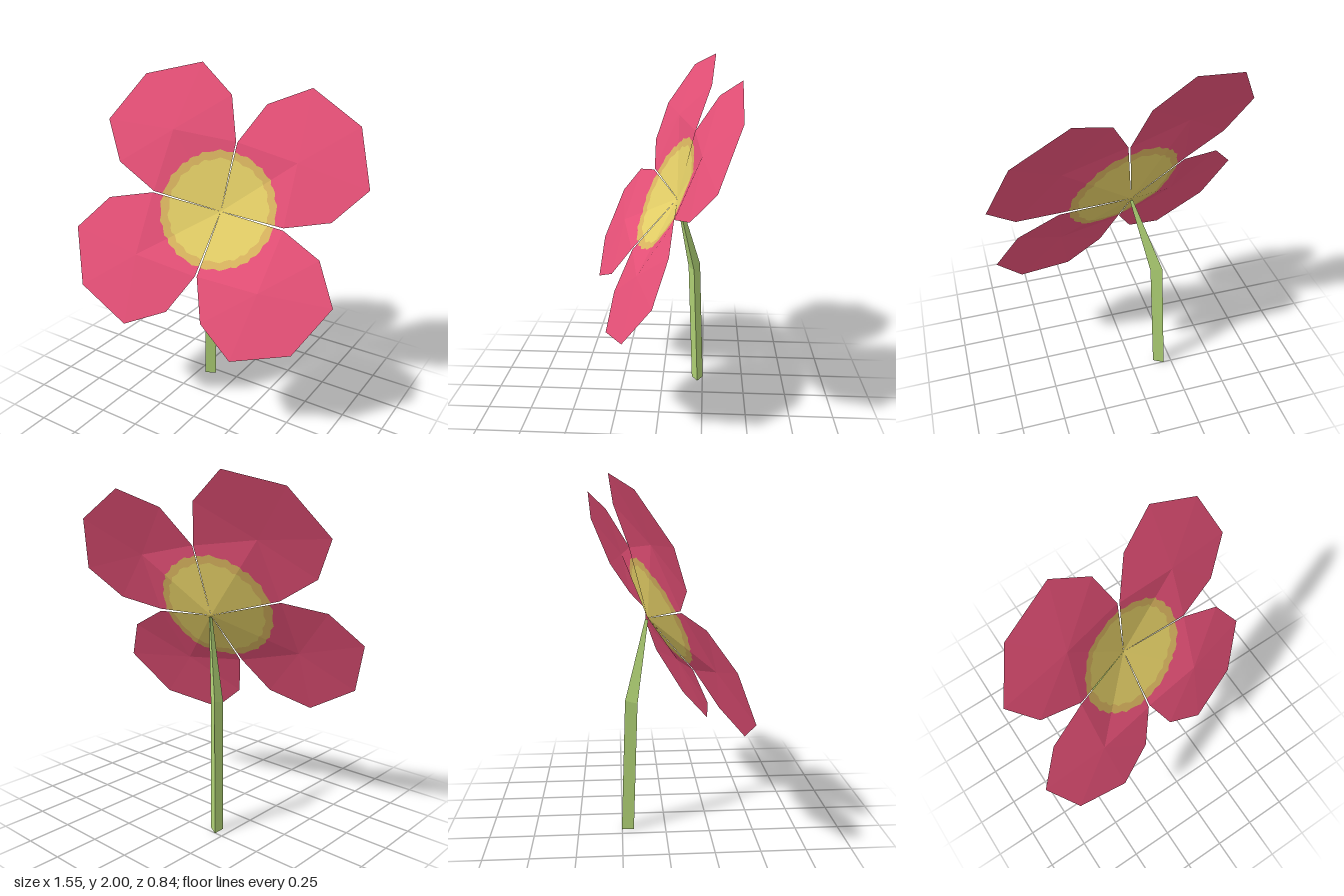
import * as THREE from 'three';

const mat = (name, color) => {
  const m = new THREE.MeshStandardMaterial({ color, side: THREE.DoubleSide });
  m.name = name;
  return m;
};
const V = (p) => new THREE.Vector3(...p);

// Flat-shaded mesh from a list of triangle corners
function facetMesh(name, corners, material) {
  const g = new THREE.BufferGeometry().setFromPoints(corners);
  g.computeVertexNormals();
  const mesh = new THREE.Mesh(g, material);
  mesh.name = name;
  return mesh;
}

const HEART = V([-0.025, 1.208, -0.09]);

// Petal rims, clockwise from the front: inner, wide, outer, tip, outer, wide, inner
const PETALS = {
  upperRightPetal: [[-0.385, 1.31, 0.063], [-0.62, 1.45, 0.072], [-0.745, 1.67, 0], [-0.592, 1.923, -0.173],
    [-0.28, 2, -0.297], [-0.07, 1.84, -0.275], [0.012, 1.6, -0.19]],
  upperLeftPetal: [[0.022, 1.6, -0.187], [0.135, 1.803, -0.315], [0.357, 1.898, -0.424], [0.655, 1.725, -0.42],
    [0.775, 1.422, -0.304], [0.623, 1.248, -0.175], [0.38, 1.193, -0.09]],
  lowerLeftPetal: [[0.38, 1.18, -0.088], [0.612, 1.062, -0.075], [0.74, 0.84, 0], [0.588, 0.583, 0.17],
    [0.275, 0.507, 0.295], [0.067, 0.67, 0.27], [-0.02, 0.9, 0.17]],
  lowerRightPetal: [[-0.03, 0.9, 0.175], [-0.138, 0.705, 0.31], [-0.36, 0.612, 0.42], [-0.66, 0.783, 0.42],
    [-0.778, 1.083, 0.3], [-0.628, 1.258, 0.17], [-0.39, 1.302, 0.068]],
};

function makePetal(name, rim, seed, pink, gold, yellow) {
  const pts = rim.map(V);
  const mid = pts[1].clone().add(pts[5]).multiplyScalar(0.5);
  mid.z += 0.015;
  const blade = [], ring = [], eye = [];

  // outer facets around the middle of the petal
  for (let i = 0; i < 6; i++) blade.push(mid, pts[i + 1], pts[i]);

  // inner facets, cut into yellow eye, ragged gold ring and pink remainder
  const steps = 8, rays = [];
  for (let i = 0; i <= 2 * steps; i++) {
    const edge = i <= steps
      ? pts[0].clone().lerp(mid, i / steps)
      : mid.clone().lerp(pts[6], i / steps - 1);
    const dir = edge.clone().sub(HEART).normalize();
    const at = (r) => HEART.clone().addScaledVector(dir, r);
    const k = i + seed * 17;
    rays.push([at(0.302 + 0.007 * Math.sin(k * 1.9)), at(0.348 + 0.007 * Math.sin(k * 2.3 + 1)), edge]);
  }
  for (let i = 0; i < 2 * steps; i++) {
    const a = rays[i], b = rays[i + 1];
    eye.push(HEART, b[0], a[0]);
    ring.push(a[0], b[0], b[1], a[0], b[1], a[1]);
    blade.push(a[1], b[1], b[2], a[1], b[2], a[2]);
  }

  const petal = new THREE.Group();
  petal.name = name;
  petal.add(facetMesh('petalBlade', blade, pink), facetMesh('petalRing', ring, gold), facetMesh('petalEye', eye, yellow));
  return petal;
}

// Three-sided stem, bent once and tapering to the flower
function makeStem(material) {
  const sections = [
    { c: [-0.181, 0, -0.218], r: 0.04, tilt: 0 },
    { c: [-0.155, 0.755, -0.19], r: 0.04, tilt: 0.25 },
    { c: [-0.026, 1.2, -0.096], r: 0.01, tilt: 0.25 },
  ];
  const loops = sections.map(({ c, r, tilt }) => [0, 1, 2].map((i) => {
    const a = (i * Math.PI * 2) / 3;
    const x = r * Math.cos(a), z = r * Math.sin(a);
    return new THREE.Vector3(c[0] + x, c[1] - tilt * (x + z), c[2] + z);
  }));
  const tris = [loops[0][0], loops[0][1], loops[0][2], loops[2][0], loops[2][2], loops[2][1]];
  for (let s = 0; s < 2; s++) {
    for (let i = 0; i < 3; i++) {
      const j = (i + 1) % 3, a = loops[s], b = loops[s + 1];
      tris.push(a[i], b[i], b[j], a[i], b[j], a[j]);
    }
  }
  return facetMesh('stem', tris, material);
}

export function createModel() {
  const pink = mat('petalPink', 0xe65077);
  const gold = mat('ringGold', 0xd9b45f);
  const yellow = mat('eyeYellow', 0xe3ce66);
  const green = mat('stemGreen', 0xb0d275);

  const flower = new THREE.Group();
  flower.name = 'flower';
  Object.entries(PETALS).forEach(([name, rim], i) => flower.add(makePetal(name, rim, i, pink, gold, yellow)));
  flower.add(makeStem(green));
  return flower;
}
